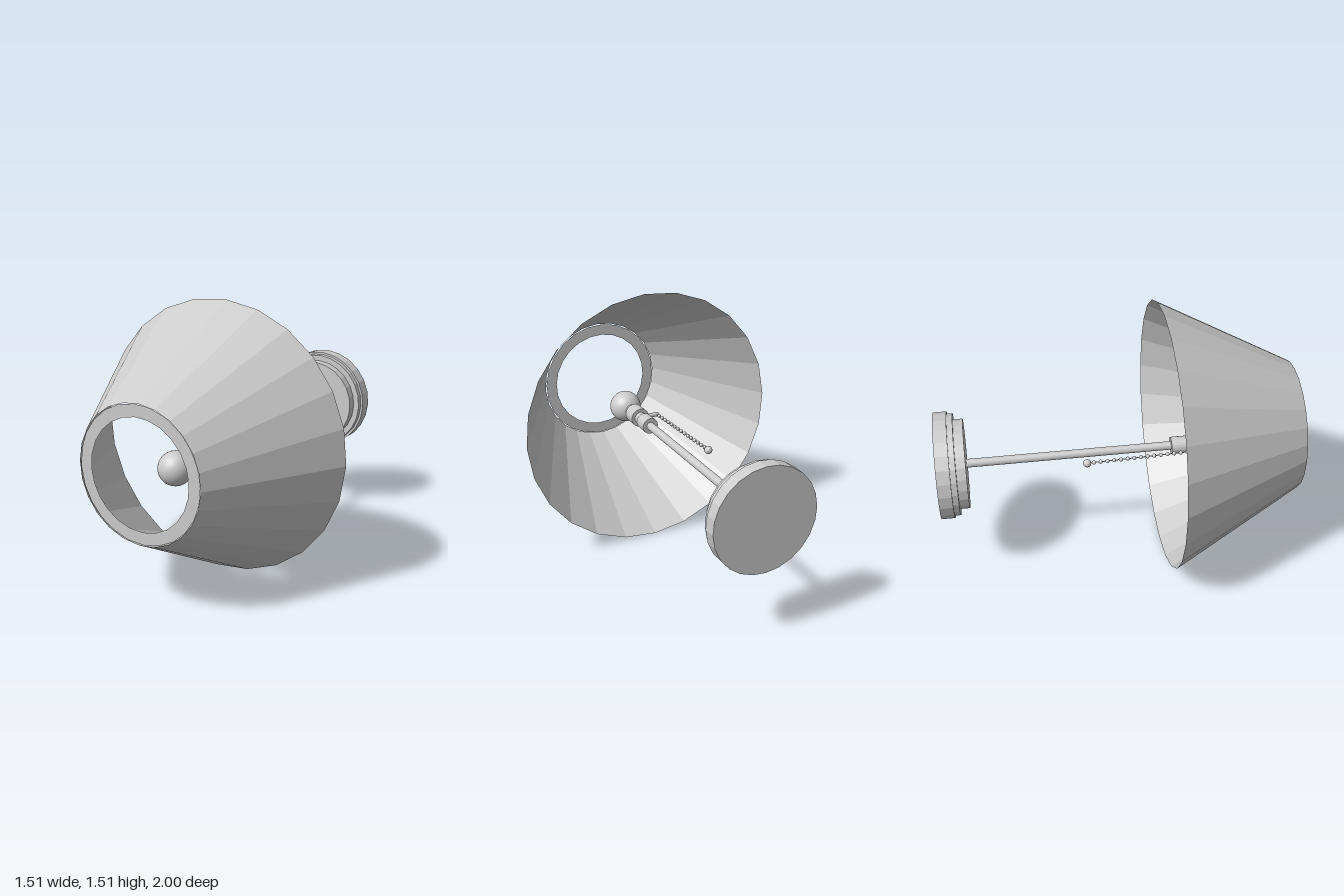
import * as THREE from 'three';

const smooth = new THREE.MeshStandardMaterial({ color: 0xcccccc });
const flat = new THREE.MeshStandardMaterial({ color: 0xcccccc, flatShading: true });
const thin = new THREE.MeshStandardMaterial({ color: 0xcccccc, flatShading: true, side: THREE.DoubleSide });

// The lamp lies along z; stem parts share one axis, the shade has its own
const AXIS = { x: -0.025, y: 0.692 };
const SHADE = { x: 0, y: 0.757 };

// Revolves [radius, z] pairs around an axis parallel to z
function turned(name, profile, axis, sides, material, start = 0) {
  const points = profile.map(([r, z]) => new THREE.Vector2(r, z));
  const geometry = new THREE.LatheGeometry(points, sides, start);
  geometry.rotateX(Math.PI / 2);
  const mesh = new THREE.Mesh(geometry, material);
  mesh.name = name;
  mesh.position.set(axis.x, axis.y, 0);
  return mesh;
}

function ball(name, radius, position, segments = 12) {
  const mesh = new THREE.Mesh(new THREE.SphereGeometry(radius, segments, Math.ceil(segments * 0.67)), smooth);
  mesh.name = name;
  mesh.position.copy(position);
  return mesh;
}

export function createModel() {
  const lamp = new THREE.Group();
  lamp.name = 'lamp';

  // Stepped foot
  lamp.add(turned('base', [
    [0, -1], [0.297, -1], [0.297, -0.925], [0.284, -0.925],
    [0.284, -0.893], [0.25, -0.893], [0.25, -0.84], [0, -0.84],
  ], AXIS, 24, flat, -0.04));

  // Stem
  lamp.add(turned('stem', [[0.024, -0.85], [0.024, 0.36]], AXIS, 20, smooth));

  // Socket: two cups with a narrower waist
  lamp.add(turned('socket', [
    [0, 0.31], [0.048, 0.31], [0.048, 0.4], [0.036, 0.4], [0.036, 0.45],
    [0.056, 0.45], [0.056, 0.54], [0.04, 0.54], [0.04, 0.6], [0, 0.6],
  ], AXIS, 20, flat));

  // Bulb
  const bulb = ball('bulb', 0.093, new THREE.Vector3(-0.022, 0.692, 0.66), 32);
  bulb.rotation.x = Math.PI / 2;
  lamp.add(bulb);

  // Pull switch arm on the side of the socket
  const arm = new THREE.Mesh(new THREE.CylinderGeometry(0.013, 0.013, 0.09, 12), smooth);
  arm.name = 'switchArm';
  arm.rotation.z = Math.PI / 2;
  arm.position.set(-0.085, 0.707, 0.425);
  lamp.add(arm);

  // Beaded pull chain
  const chain = new THREE.Group();
  chain.name = 'pullChain';
  const from = new THREE.Vector3(-0.118, 0.71, 0.425);
  const to = new THREE.Vector3(-0.146, 0.714, -0.18);
  const beads = 16;
  for (let i = 0; i < beads; i++) {
    chain.add(ball('chainBead', 0.0115, from.clone().lerp(to, i / beads)));
  }
  chain.add(ball('chainEnd', 0.023, to, 16));
  const cord = new THREE.Mesh(new THREE.TubeGeometry(new THREE.LineCurve3(from, to), 1, 0.003, 6), smooth);
  cord.name = 'chainCord';
  chain.add(cord);
  lamp.add(chain);

  // Faceted open shade and the flat ring inside its narrow end
  lamp.add(turned('shade', [[0.758, 0.262], [0.367, 1]], SHADE, 24, thin, -0.04));
  lamp.add(turned('shadeRing', [[0.363, 0.995], [0.296, 0.995]], SHADE, 24, thin, 0.05));

  return lamp;
}
